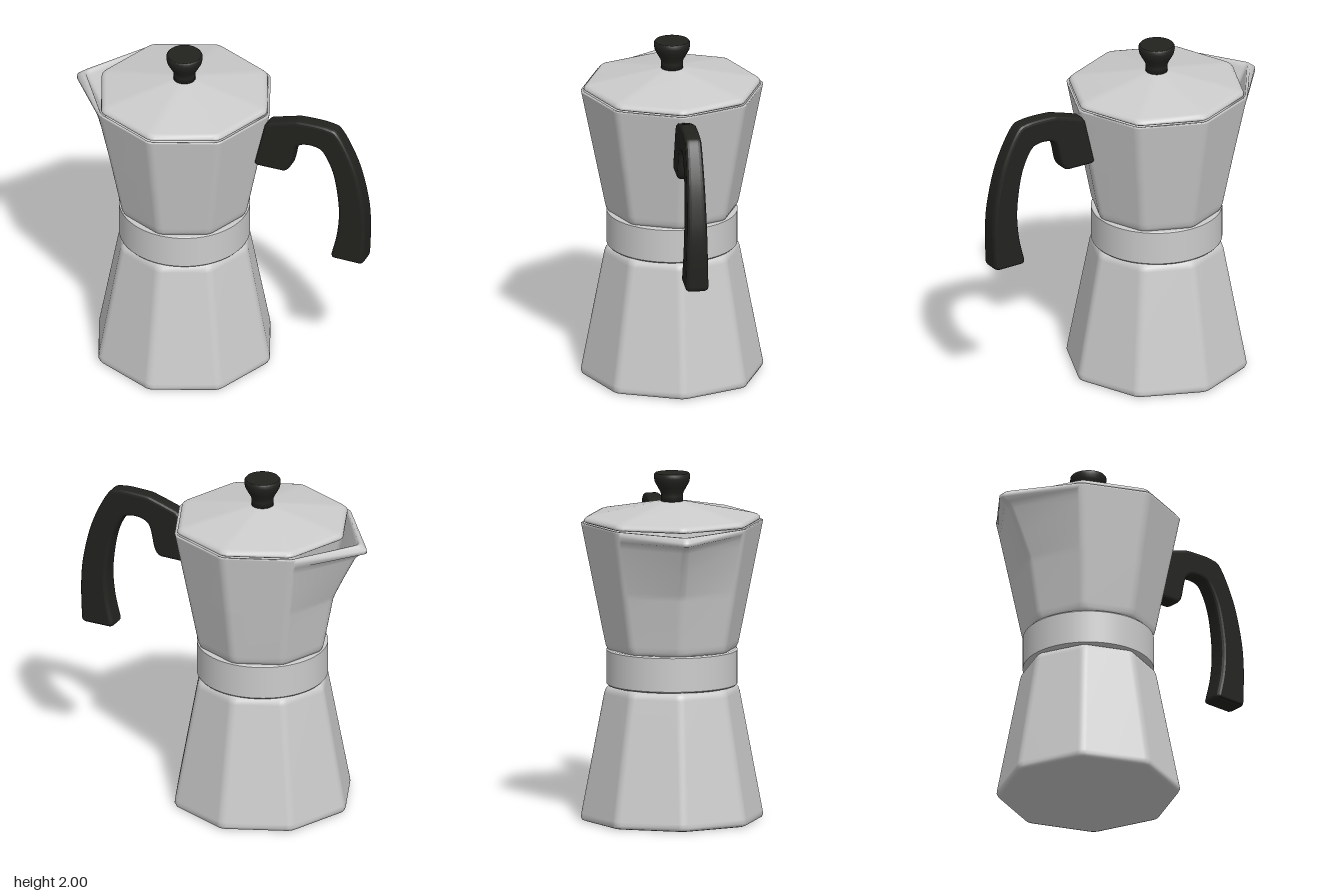
import * as THREE from 'three';

const AXIS_X = -0.24; // centre line of the pot
const STEPS = 4; // segments per rounded corner

// Octagonal ring with rounded corners; tip = [x, y] pulls the left corner out into a spout
function octagonRing(r, y, tip) {
  const corners = [];
  for (let i = 0; i < 8; i++) {
    const a = (i * Math.PI) / 4;
    corners.push(new THREE.Vector3(AXIS_X + r * Math.cos(a), y, -r * Math.sin(a)));
  }
  if (tip) corners[4].set(tip[0], tip[1], 0);
  const points = [];
  corners.forEach((c, i) => {
    const prev = corners[(i + 7) % 8], next = corners[(i + 1) % 8];
    const toward = (p) => {
      const d = c.distanceTo(p);
      return d > 0 ? c.clone().lerp(p, Math.min(0.03, 0.3 * d) / d) : c.clone();
    };
    points.push(...new THREE.QuadraticBezierCurve3(toward(prev), c, toward(next)).getPoints(STEPS));
  });
  return points;
}

// Skin a list of rings, bottom to top
function loft(sections) {
  const rings = sections.map((s) => octagonRing(...s));
  const n = rings[0].length;
  const index = [];
  for (let j = 0; j < rings.length - 1; j++) {
    for (let i = 0; i < n; i++) {
      const k = (i + 1) % n;
      const a = j * n + i, b = j * n + k, c = b + n, d = a + n;
      index.push(a, b, c, a, c, d);
    }
  }
  const geometry = new THREE.BufferGeometry().setFromPoints(rings.flat());
  geometry.setIndex(index);
  geometry.computeVertexNormals();
  return geometry;
}

function lathe(profile, segments) {
  const geometry = new THREE.LatheGeometry(profile.map(([x, y]) => new THREE.Vector2(x, y)), segments);
  geometry.translate(AXIS_X, 0, 0);
  return geometry;
}

function handleGeometry() {
  const v = (list) => list.map(([x, y]) => new THREE.Vector2(x, y));
  const shape = new THREE.Shape();
  shape.moveTo(0.21, 1.4);
  shape.lineTo(0.27, 1.665);
  shape.lineTo(0.29, 1.69);
  // outer sweep
  shape.splineThru(v([[0.43, 1.735], [0.5, 1.75], [0.66, 1.75], [0.735, 1.71], [0.83, 1.52], [0.885, 1.3], [0.9, 1.12], [0.893, 0.91]]));
  shape.quadraticCurveTo(0.892, 0.88, 0.865, 0.877);
  shape.lineTo(0.715, 0.877);
  shape.quadraticCurveTo(0.685, 0.88, 0.692, 0.91);
  // inner sweep
  shape.splineThru(v([[0.725, 1.06], [0.733, 1.23], [0.7, 1.44], [0.64, 1.57], [0.585, 1.602], [0.51, 1.597], [0.465, 1.56], [0.44, 1.46]]));
  shape.quadraticCurveTo(0.425, 1.39, 0.385, 1.388);
  shape.lineTo(0.225, 1.385);
  const geometry = new THREE.ExtrudeGeometry(shape, {
    depth: 0.05, curveSegments: 32,
    bevelEnabled: true, bevelThickness: 0.022, bevelSize: 0.02, bevelOffset: -0.02, bevelSegments: 3,
  });
  geometry.translate(0, 0, -0.025);
  // the grip thickens toward its lower end
  const p = geometry.attributes.position;
  for (let i = 0; i < p.count; i++) {
    p.setZ(i, p.getZ(i) * THREE.MathUtils.mapLinear(p.getY(i), 1.75, 0.88, 0.98, 1.4));
  }
  geometry.computeVertexNormals();
  return geometry;
}

export function createModel() {
  const group = new THREE.Group();
  const metal = new THREE.MeshStandardMaterial({ color: 0xcccccc });
  const black = new THREE.MeshStandardMaterial({ color: 0x22221f });
  const add = (name, geometry, material) => {
    const mesh = new THREE.Mesh(geometry, material);
    mesh.name = name;
    group.add(mesh);
  };

  // Water chamber, narrowing upward
  add('boiler', loft([
    [0, 0], [0.505, 0], [0.522, 0.006], [0.53, 0.022], [0.527, 0.045],
    [0.396, 0.735], [0.388, 0.758], [0.374, 0.775], [0.35, 0.782], [0, 0.782],
  ]), metal);

  // Round collar between the chambers
  const collar = [[0, 0.78], [0.368, 0.78], [0.375, 0.788], [0.375, 0.788], [0.375, 0.982], [0.375, 0.982], [0.368, 0.99], [0, 0.99]];
  add('collar', lathe(collar, 64), metal);

  // Hollow jug, outside up to the rim and back down inside
  const r = (y) => 0.385 + (0.145 * (y - 1)) / 0.72;
  add('jug', loft([
    [0, 0.985], [0.355, 0.985], [0.375, 0.99], [0.386, 1.01], [r(1.04), 1.04],
    [r(1.32), 1.32],
    [r(1.36), 1.36, [-0.705, 1.36]],
    [r(1.48), 1.48, [-0.765, 1.48]],
    [r(1.62), 1.62, [-0.84, 1.62]],
    [r(1.66), 1.66, [-0.872, 1.653]],
    [r(1.69), 1.69, [-0.914, 1.668]],
    [r(1.71), 1.71, [-0.912, 1.688]],
    [r(1.72), 1.72, [-0.878, 1.715]],
    [r(1.72) - 0.014, 1.72, [-0.856, 1.715]],
    [r(1.7) - 0.018, 1.7, [-0.845, 1.685]],
    [r(1.48) - 0.018, 1.48, [-0.735, 1.48]],
    [r(1.32) - 0.018, 1.32],
    [r(1.05) - 0.018, 1.05], [0, 1.05],
  ]), metal);

  // Shallow eight-sided lid
  add('lid', loft([
    [0, 1.722], [0.505, 1.722], [0.514, 1.728], [0.512, 1.74], [0.5, 1.752], [0.482, 1.758],
    [0.07, 1.838], [0, 1.842],
  ]), metal);

  // Lid knob
  add('knob', lathe([
    [0, 1.83], [0.064, 1.83], [0.062, 1.87], [0.066, 1.89], [0.083, 1.92],
    [0.099, 1.95], [0.104, 1.975], [0.103, 1.992], [0.097, 2], [0.095, 2], [0, 2],
  ], 32), black);

  add('handle', handleGeometry(), black);
  return group;
}
